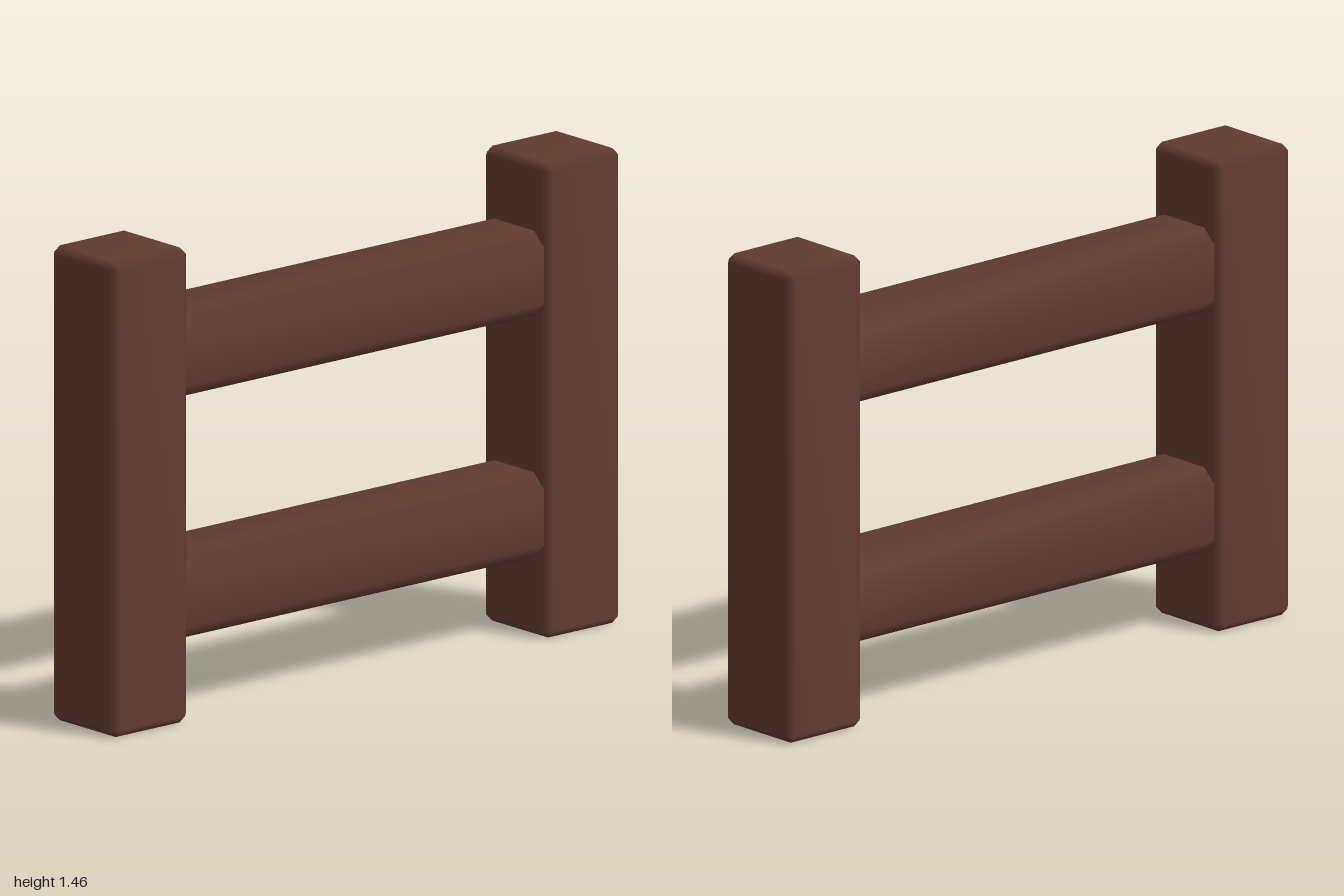
import * as THREE from 'three';
import { mergeVertices } from 'three/addons/utils/BufferGeometryUtils.js';
import { ConvexGeometry } from 'three/addons/geometries/ConvexGeometry.js';

// Box with one chamfer on every edge, shaded smoothly across the chamfers
function chamferedBox(w, h, d, c) {
  const half = [w / 2, h / 2, d / 2];
  const points = [];
  for (const sx of [-1, 1]) for (const sy of [-1, 1]) for (const sz of [-1, 1]) {
    for (let axis = 0; axis < 3; axis++) {
      const p = [sx, sy, sz].map((s, i) => s * (half[i] - (i === axis ? 0 : c)));
      points.push(new THREE.Vector3(...p));
    }
  }
  let geometry = new ConvexGeometry(points);
  geometry.deleteAttribute('normal');
  geometry = mergeVertices(geometry, 1e-4);
  geometry.computeVertexNormals();
  return geometry;
}

export function createModel() {
  const model = new THREE.Group();
  model.name = 'fence';
  const wood = new THREE.MeshStandardMaterial({ color: 0x613b31 });
  wood.name = 'dark brown wood';

  const add = (name, geometry, x, y) => {
    const mesh = new THREE.Mesh(geometry, wood);
    mesh.name = name;
    mesh.position.set(x, y, 0);
    model.add(mesh);
  };

  // Upright posts
  const post = chamferedBox(0.3, 1.46, 0.3, 0.024);
  add('leftPost', post, 0.85, 0.73);
  add('rightPost', post, -0.85, 0.73);

  // Horizontal rails, their ends set into the posts
  const rail = chamferedBox(1.6, 0.26, 0.26, 0.04);
  add('lowerRail', rail, 0, 0.375);
  add('upperRail', rail, 0, 1.118);

  return model;
}
